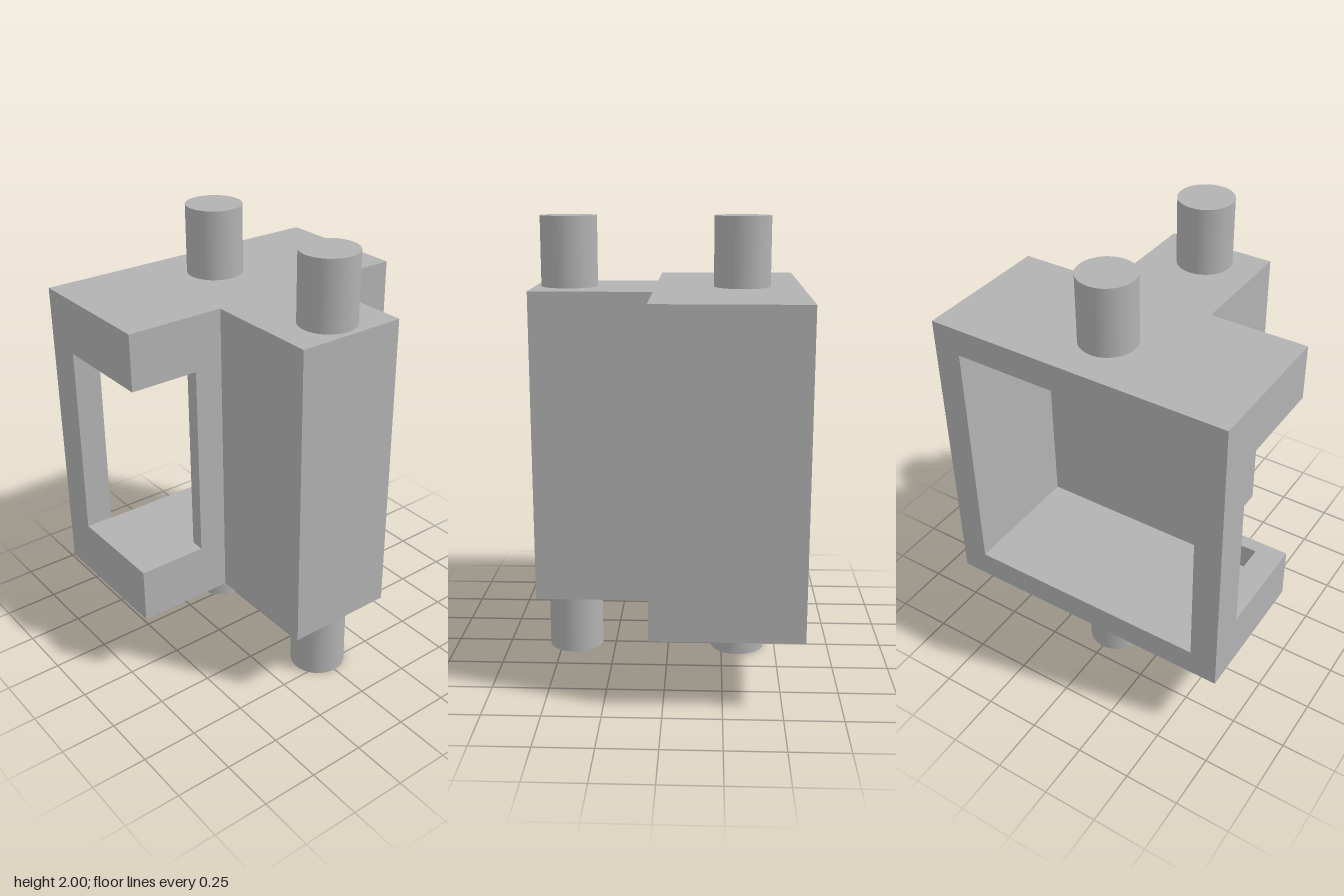
import * as THREE from 'three';

export function createModel() {
  const model = new THREE.Group();
  model.name = 'housing';
  const grey = new THREE.MeshStandardMaterial({ color: 0xb2b2b2 });
  grey.name = 'plain grey';

  // plan dimensions
  const W = 0.69, inW = 0.565, stem = 0.25;
  const back = -0.588, step = 0.057, front = 0.588, inner = -0.006;
  const notchX = -0.38, notchZ = -0.42;
  // heights: bottom, cavity floor, notch sill, notch head, cavity ceiling, top
  const [y0, y1, y2, y3, y4, y5] = [0.312, 0.437, 0.562, 1.443, 1.568, 1.693];

  // upright prism from an [x, z] plan outline
  function prism(name, plan, from, to) {
    const shape = new THREE.Shape(plan.map(([x, z]) => new THREE.Vector2(x, -z)));
    const geometry = new THREE.ExtrudeGeometry(shape, { depth: to - from, bevelEnabled: false });
    geometry.rotateX(-Math.PI / 2);
    const mesh = new THREE.Mesh(geometry, grey);
    mesh.name = name;
    mesh.position.y = from;
    model.add(mesh);
  }

  // front block with its shoulders, shared by all the layers
  const nose = [[W, step], [stem, step], [stem, front], [-stem, front], [-stem, step]];
  const leftWall = [[inW, inner], [inW, back], [W, back]];

  // solid floor and ceiling
  const full = [[-W, back], [W, back], ...nose, [-W, step]];
  prism('floor', full, y0, y1);
  prism('ceiling', full, y4, y5);

  // walls around the cavity, open at the back
  const walls = [...leftWall, ...nose, [-W, step], [-W, back], [-inW, back], [-inW, inner]];
  prism('lowerWalls', walls, y1, y2);
  prism('upperWalls', walls, y3, y4);

  // middle walls, with the window cut around the right front corner
  prism('middleWalls', [...leftWall, ...nose, [notchX, step], [notchX, inner]], y2, y3);
  prism('rightBackPost', [[-W, back], [-inW, back], [-inW, notchZ], [-W, notchZ]], y2, y3);

  // pins above and below
  for (const [place, z] of [['back', -0.325], ['front', 0.437]]) {
    for (const [level, from, to] of [['Lower', 0, y0], ['Upper', y5, 2]]) {
      const pin = new THREE.Mesh(new THREE.CylinderGeometry(0.125, 0.125, to - from, 32), grey);
      pin.name = `${place}${level}Pin`;
      pin.position.set(0, (from + to) / 2, z);
      model.add(pin);
    }
  }
  return model;
}
